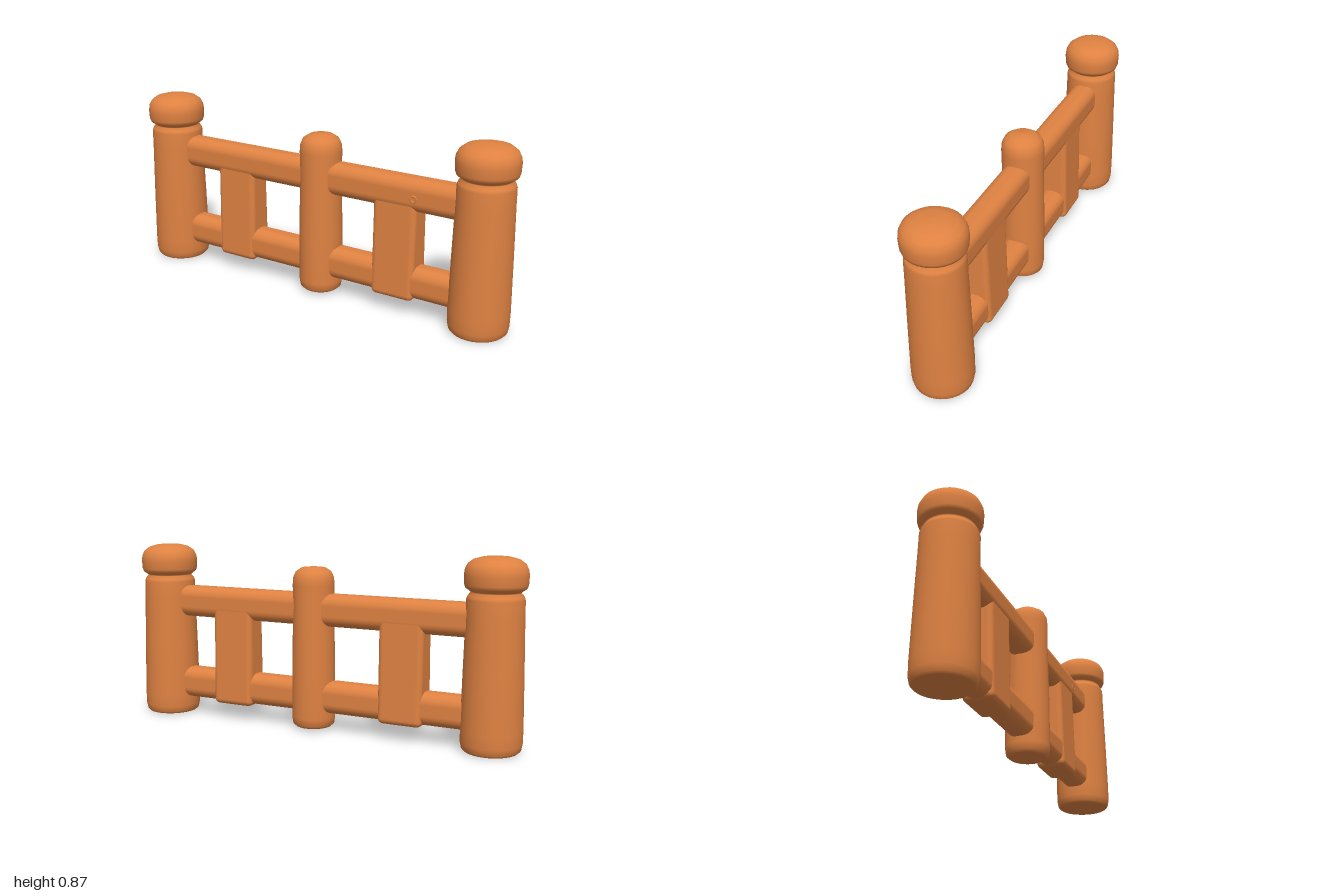
import * as THREE from 'three';
import { RoundedBoxGeometry } from 'three/addons/geometries/RoundedBoxGeometry.js';

export function createModel() {
  const group = new THREE.Group();
  group.name = 'woodenFence';
  const wood = new THREE.MeshStandardMaterial({ color: 0xdf8242 });
  wood.name = 'orangeWood';

  const add = (name, geometry, x, y, z) => {
    const mesh = new THREE.Mesh(geometry, wood);
    mesh.name = name;
    mesh.position.set(x, y, z);
    group.add(mesh);
    return mesh;
  };
  const turned = (profile) =>
    new THREE.LatheGeometry(profile.map(([r, y]) => new THREE.Vector2(r, y)), 32);

  // End posts: tapered trunk, pinched neck and bun-shaped cap
  const endProfile = [
    [0, 0], [0.122, 0.002], [0.132, 0.012], [0.138, 0.04], [0.139, 0.1],
    [0.134, 0.35], [0.128, 0.6], [0.127, 0.68], [0.122, 0.694], [0.109, 0.71],
    [0.113, 0.716], [0.132, 0.729], [0.138, 0.745], [0.14, 0.785], [0.137, 0.81],
    [0.125, 0.834], [0.1, 0.853], [0.06, 0.864], [0, 0.868],
  ];
  add('rightEndPost', turned(endProfile), -0.86, 0, 0);
  add('leftEndPost', turned(endProfile), 0.857, 0, 0);

  // Middle post: plain, with a domed top
  add('middlePost', turned([
    [0, 0.01], [0.085, 0.012], [0.1, 0.025], [0.105, 0.06], [0.104, 0.3],
    [0.098, 0.6], [0.1, 0.7], [0.097, 0.735], [0.085, 0.762], [0.058, 0.78], [0, 0.787],
  ]), 0.025, 0, 0);

  // Horizontal rails, rounded in section and buried in the posts
  for (const [name, y] of [['upperRail', 0.583], ['lowerRail', 0.163]]) {
    add(name, new RoundedBoxGeometry(1.68, 0.155, 0.128, 5, 0.052), 0, y, -0.002);
  }

  // Flat slats: wrap the lower rail, sink into the upper one
  const slat = new RoundedBoxGeometry(0.215, 0.5, 0.145, 4, 0.026);
  const p = slat.attributes.position;
  for (let i = 0; i < p.count; i++) {
    const t = THREE.MathUtils.smoothstep(p.getY(i), 0, 0.25);
    p.setZ(i, p.getZ(i) * (1 - 0.16 * t));
  }
  slat.computeVertexNormals();
  add('rightSlat', slat, -0.444, 0.328, -0.004);
  add('leftSlat', slat, 0.446, 0.328, -0.004);

  // Small knot on the upper rail
  add('knot', new THREE.TorusGeometry(0.014, 0.005, 8, 16), 0.545, 0.575, 0.061);

  return group;
}
